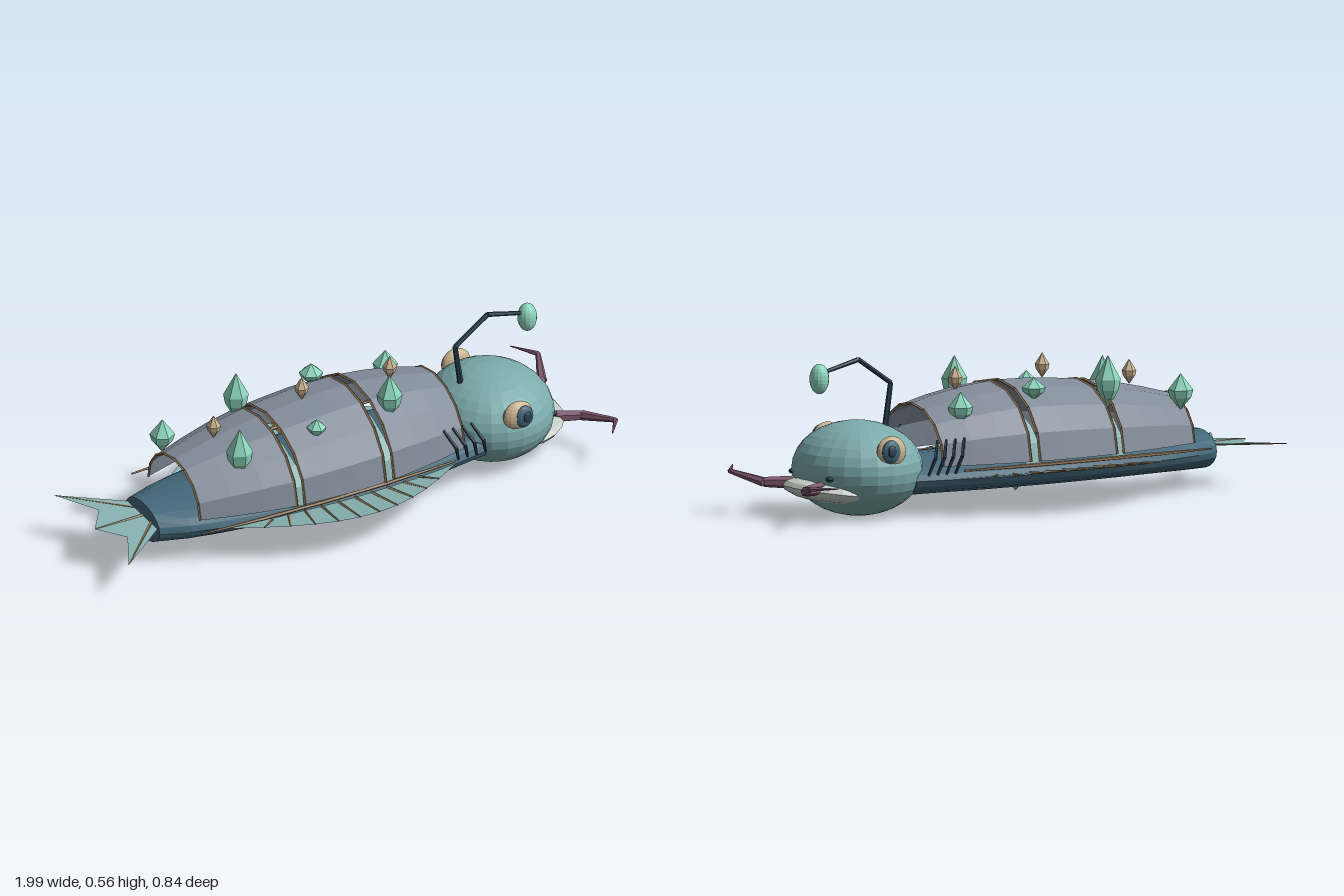
import * as THREE from 'three';

const mat = (name, color, side = THREE.FrontSide) => {
  const m = new THREE.MeshStandardMaterial({ color, side, flatShading: true });
  m.name = name;
  return m;
};

export function createModel() {
  const root = new THREE.Group();
  root.name = 'armouredFish';
  const body = mat('slateTeal', 0x44687a);
  const skin = mat('seaTeal', 0x7cabac);
  const fin = mat('finTeal', 0x88b3b2, THREE.DoubleSide);
  const armour = mat('armourGrey', 0x828c99, THREE.DoubleSide);
  const crystal = mat('mint', 0x8cd6bd);
  const bone = mat('bone', 0xcbb592);
  const trim = mat('bronze', 0x94795a);
  const mauve = mat('mauve', 0x80596f);
  const lipPale = mat('palePearl', 0xc3cdc5);
  const dark = mat('darkSlate', 0x2b4352);

  const V = (x, y, z) => new THREE.Vector3(x, y, z);
  const add = (name, geo, material, x = 0, y = 0, z = 0) => {
    const m = new THREE.Mesh(geo, material);
    m.name = name;
    m.position.set(x, y, z);
    root.add(m);
    return m;
  };
  const ellipsoid = (name, material, c, r, w = 20, h = 14) =>
    add(name, new THREE.SphereGeometry(1, w, h).scale(...r), material, ...c);

  // chain of tapered rods through a list of points
  const limb = (name, pts, radii, material, sides = 6) => {
    const g = new THREE.Group();
    g.name = name;
    for (let i = 0; i < pts.length - 1; i++) {
      const dir = pts[i + 1].clone().sub(pts[i]);
      const geo = new THREE.CylinderGeometry(radii[i + 1], radii[i], dir.length(), sides);
      const m = new THREE.Mesh(geo, material);
      m.position.copy(pts[i]).addScaledVector(dir, 0.5);
      m.quaternion.setFromUnitVectors(V(0, 1, 0), dir.normalize());
      g.add(m);
    }
    root.add(g);
  };

  // linear lookup in [x, value] pairs
  const lookup = (table, x) => {
    let i = 1;
    while (i < table.length - 1 && x > table[i][0]) i++;
    const [a, b] = [table[i - 1], table[i]];
    return a[1] + (b[1] - a[1]) * (x - a[0]) / (b[0] - a[0]);
  };
  // cylinder along x whose sections are moulded by a width and a height rule
  const loft = (x0, x1, y0, sides, steps, open, width, height) => {
    const g = new THREE.CylinderGeometry(1, 1, 1, sides, steps, open,
      open ? Math.PI : 0, open ? Math.PI : Math.PI * 2).rotateZ(-Math.PI / 2);
    const p = g.attributes.position;
    for (let i = 0; i < p.count; i++) {
      const x = x0 + (p.getX(i) + 0.5) * (x1 - x0);
      p.setXYZ(i, x, y0 + p.getY(i) * height(x), p.getZ(i) * width(x));
    }
    g.computeVertexNormals();
    return g;
  };

  // trunk
  const trunk = [[-0.79, 0.12], [-0.65, 0.18], [-0.4, 0.23], [-0.1, 0.26], [0.2, 0.25], [0.5, 0.2]];
  add('body', loft(-0.79, 0.5, 0.132, 20, 12, false, x => lookup(trunk, x), () => 0.07), body);

  // three arched back plates with bronze rims and soft bands between them
  const wide = [[-0.66, 0.18], [-0.48, 0.235], [-0.3, 0.27], [-0.1, 0.285], [0.06, 0.28], [0.24, 0.255], [0.4, 0.215]];
  const high = [[-0.66, 0.16], [-0.48, 0.207], [-0.3, 0.235], [-0.1, 0.255], [0.06, 0.258], [0.24, 0.24], [0.4, 0.2]];
  const W = x => lookup(wide, x), H = x => lookup(high, x);
  [[-0.66, -0.315], [-0.285, 0.04], [0.075, 0.4]].forEach(([a, b]) => {
    add('backPlate', loft(a, b, 0.18, 8, 3, true, W, H), armour);
    for (const x of [a, b]) {
      const arc = [];
      for (let i = 0; i <= 8; i++) {
        const t = Math.PI * i / 8;
        arc.push(V(x, 0.18 + H(x) * Math.sin(t), W(x) * Math.cos(t)));
      }
      limb('plateRim', arc, Array(9).fill(0.005), trim, 4);
    }
  });
  for (const [a, b] of [[-0.33, -0.27], [0.025, 0.09]])
    add('softBand', loft(a, b, 0.17, 8, 1, true, x => W(x) * 0.95, x => H(x) * 0.72), fin);

  // head and lower lip
  ellipsoid('head', skin, [0.625, 0.168, 0], [0.228, 0.168, 0.245], 24, 16);
  ellipsoid('lowerLip', lipPale, [0.745, 0.097, 0], [0.155, 0.045, 0.19], 20, 8).rotation.z = 0.13;

  // crystals and bone studs
  const gem = (name, material, x, y, z, r, h) => {
    const pts = [[0.0001, -h], [r * 0.85, -h * 0.3], [r, h * 0.1], [0.0001, h]].map(q => new THREE.Vector2(...q));
    add(name, new THREE.LatheGeometry(pts, 6), material, x, y, z);
  };
  [[-0.63, 0.36, -0.135, 0.045, 0.065], [-0.32, 0.42, -0.15, 0.045, 0.095],
    [-0.01, 0.42, -0.155, 0.043, 0.04], [0.29, 0.37, -0.15, 0.045, 0.06],
    [-0.47, 0.37, 0.13, 0.047, 0.1], [-0.17, 0.4, 0.155, 0.035, 0.035],
    [0.14, 0.425, 0.135, 0.046, 0.09], [-0.03, 0.065, 0, 0.02, 0.028],
  ].forEach(a => gem('crystal', crystal, ...a));
  [[-0.5, 0.425], [-0.14, 0.475], [0.22, 0.455]].forEach(([x, y]) => gem('boneStud', bone, x, y, 0, 0.026, 0.045));

  // glowing lure
  limb('lureStalk', [V(0.51, 0.3, 0), V(0.487, 0.46, 0), V(0.62, 0.552, 0), V(0.77, 0.515, 0)],
    [0.011, 0.009, 0.009, 0.007], dark);
  ellipsoid('lureBulb', crystal, [0.782, 0.495, 0], [0.035, 0.054, 0.035], 14, 12);

  // paired parts
  const ridgeZ = x => 0.27 - 0.07 * (x + 0.1) ** 2;
  const finEdge = x => 0.2 + 0.22 * Math.cos((x + 0.09) / 0.48 * Math.PI / 2);
  const finY = z => 0.13 + (z - 0.2) * 0.14;
  for (const s of [1, -1]) {
    // eye
    ellipsoid('eyeSocket', bone, [0.617, 0.25, s * 0.215], [0.058, 0.055, 0.031], 16, 12);
    ellipsoid('iris', body, [0.63, 0.252, s * 0.236], [0.037, 0.042, 0.02], 14, 10);
    ellipsoid('pupil', dark, [0.635, 0.255, s * 0.251], [0.019, 0.022, 0.009], 10, 8);
    ellipsoid('nostril', dark, [0.815, 0.155, s * 0.125], [0.015, 0.01, 0.016], 8, 6);

    // whisker
    limb('whisker', [V(0.82, 0.12, s * 0.085), V(0.925, 0.122, s * 0.14), V(0.985, 0.15, s * 0.27), V(0.922, 0.157, s * 0.355)],
      [0.024, 0.018, 0.009, 0.002], mauve);

    // gill bars
    for (let i = 0; i < 4; i++) {
      const x = 0.315 + i * 0.037;
      limb('gillBar', [V(x, 0.275, s * 0.215), V(x + 0.03, 0.215, s * 0.25), V(x + 0.048, 0.155, s * 0.235)],
        [0.005, 0.007, 0.005], dark, 5);
    }

    // side fin with rays
    const shape = new THREE.Shape();
    shape.moveTo(-0.57, s * 0.2);
    for (let i = 1; i <= 20; i++) {
      const x = -0.57 + 0.96 * i / 20;
      shape.lineTo(x, s * finEdge(x));
    }
    const g = new THREE.ShapeGeometry(shape).rotateX(Math.PI / 2);
    const p = g.attributes.position;
    for (let i = 0; i < p.count; i++) p.setY(i, finY(Math.abs(p.getZ(i))));
    g.computeVertexNormals();
    add('sideFin', g, fin);
    for (let i = 0; i < 10; i++) {
      const a = -0.4 + i * 0.066, b = -0.09 + (a + 0.09) * 1.18, z = finEdge(b);
      limb('finRay', [V(a, finY(0.24), s * 0.24), V(b, finY(z), s * z)], [0.006, 0.003], trim, 4);
    }

    // bronze rail along the flank
    const rail = [-0.69, -0.45, -0.2, 0.05, 0.34].map(x => V(x, 0.166, s * ridgeZ(x)));
    limb('flankRail', rail, [0.003, 0.007, 0.007, 0.007, 0.004], trim, 5);

    // tail ray
    limb('tailRay', [V(-0.78, 0.15, s * 0.05), V(-0.995, 0.15 - s * 0.012, s * 0.255)], [0.006, 0.002], trim, 4);
  }

  // tail fin
  const tail = new THREE.Shape([[-0.77, -0.09], [-1, -0.26], [-0.91, -0.1], [-0.985, 0],
    [-0.91, 0.1], [-1, 0.26], [-0.77, 0.09]].map(q => new THREE.Vector2(...q)));
  const tailMesh = add('tailFin', new THREE.ShapeGeometry(tail).rotateX(Math.PI / 2), fin, 0, 0.15, 0);
  tailMesh.rotation.x = 0.05;
  limb('tailRay', [V(-0.78, 0.15, 0), V(-0.98, 0.15, 0)], [0.006, 0.002], trim, 4);

  return root;
}
